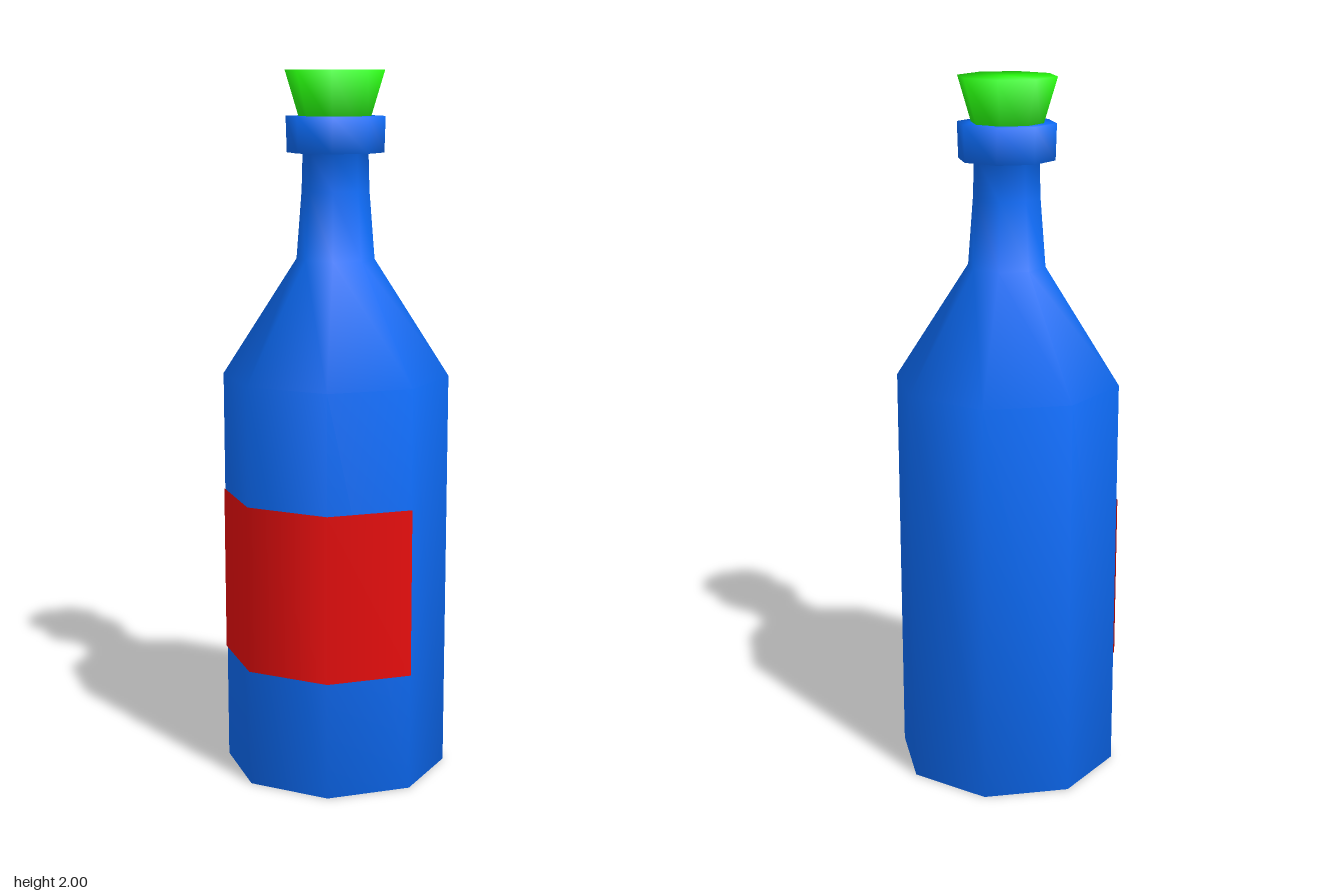
import * as THREE from 'three';

const SIDES = 8;

// Eight-sided turned part with smooth normals, profile listed as [radius, height] from bottom to top
function turned(name, profile, color, start = 0, sides = SIDES) {
  const points = profile.map(([r, y]) => new THREE.Vector2(r, y));
  const geometry = new THREE.LatheGeometry(points, sides, start, (sides / SIDES) * Math.PI * 2);
  const material = new THREE.MeshStandardMaterial({ color });
  const mesh = new THREE.Mesh(geometry, material);
  mesh.name = name;
  return mesh;
}

export function createModel() {
  const model = new THREE.Group();
  model.name = 'bottle';

  // Glass: base, straight body, sloped shoulder, neck and flared lip
  const glass = turned('glassBody', [
    [0, 0], [0.318, 0], [0.321, 1.15], [0.11, 1.48], [0.095, 1.67], [0.092, 1.775],
    [0.136, 1.775], [0.139, 1.875], [0.085, 1.875],
  ], 0x0d6efd);

  // Tapered stopper, wider at the top
  const stopper = turned('stopper', [[0, 1.85], [0.094, 1.85], [0.139, 2], [0, 2]], 0x28fa0f);
  stopper.position.x = -0.003;

  // Label wraps three facets, from the front right corner round to the left side
  const label = turned('label', [[0.322, 0.335], [0.323, 0.812]], 0xe60d0d, -Math.PI / 4, 3);
  label.material.side = THREE.DoubleSide;

  model.add(glass, stopper, label);
  return model;
}
